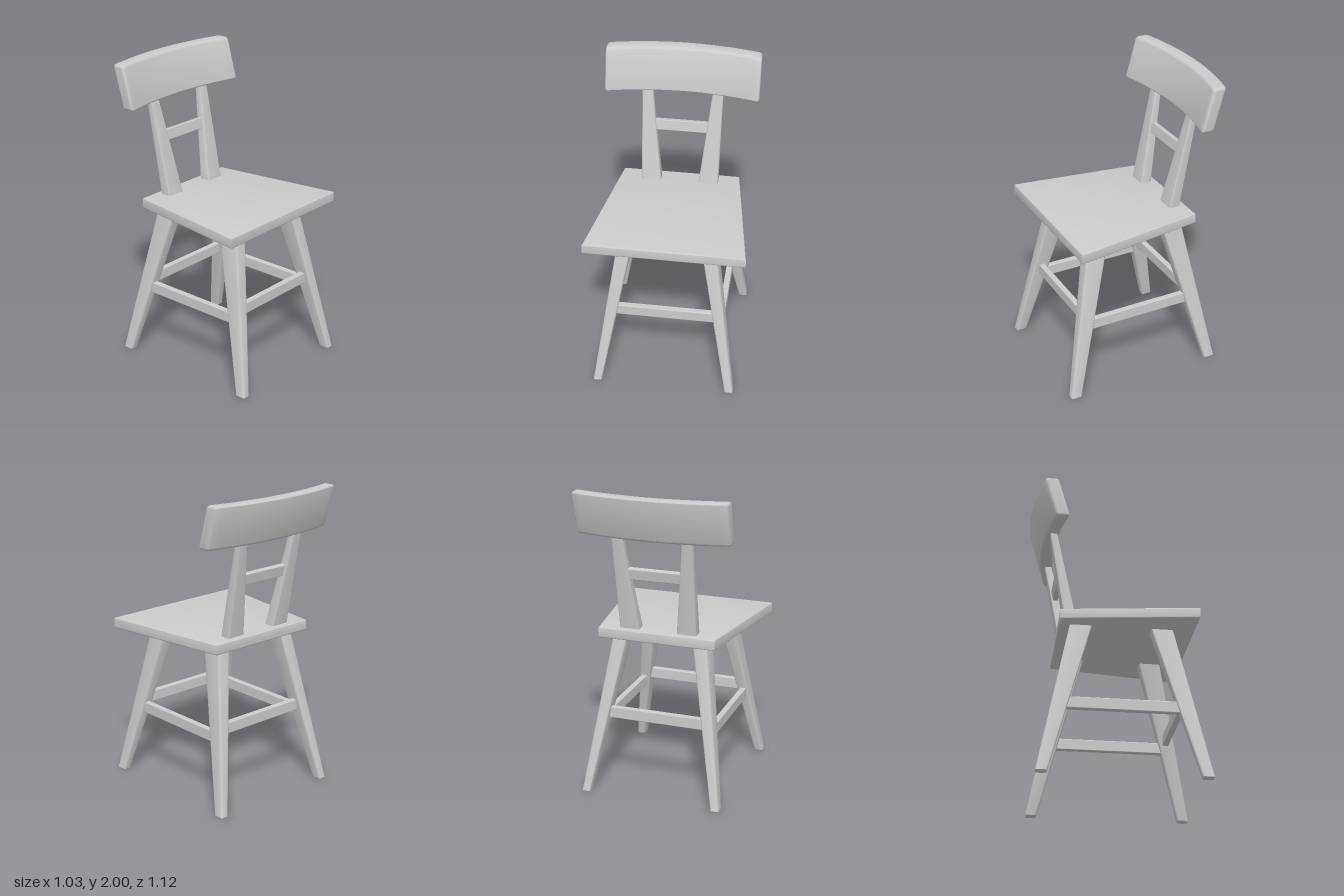
import * as THREE from 'three';
import { toCreasedNormals } from 'three/addons/utils/BufferGeometryUtils.js';
import { RoundedBoxGeometry } from 'three/addons/geometries/RoundedBoxGeometry.js';

const material = new THREE.MeshStandardMaterial({ color: 0xcccccc });

// Counter-clockwise rounded rectangle as [a, b] pairs
function roundedRect(ca, cb, width, depth, r) {
  const points = [];
  const corners = [[1, 1], [-1, 1], [-1, -1], [1, -1]];
  corners.forEach(([sa, sb], q) => {
    for (let i = 0; i <= 3; i++) {
      const t = (q + i / 3) * Math.PI / 2;
      points.push([
        ca + sa * (width / 2 - r) + r * Math.cos(t),
        cb + sb * (depth / 2 - r) + r * Math.sin(t),
      ]);
    }
  });
  return points;
}

// Closed solid through a row of equal-length rings of [x, y, z]
function loft(rings) {
  const n = rings[0].length;
  const positions = rings.flat(2);
  const index = [];
  for (let k = 0; k < rings.length - 1; k++) {
    for (let i = 0; i < n; i++) {
      const a = k * n + i, b = k * n + (i + 1) % n;
      index.push(a, b, b + n, a, b + n, a + n);
    }
  }
  const last = (rings.length - 1) * n;
  for (let i = 1; i < n - 1; i++) {
    index.push(0, i + 1, i, last, last + i, last + i + 1);
  }
  const geometry = new THREE.BufferGeometry();
  geometry.setAttribute('position', new THREE.Float32BufferAttribute(positions, 3));
  geometry.setIndex(index);
  return toCreasedNormals(geometry, 0.6);
}

// Tapered upright; each end is { y, x, z, w, d }
function taperedBar(bottom, top, r) {
  const ring = (t, inset) => {
    const v = (key) => THREE.MathUtils.lerp(bottom[key], top[key], t);
    return roundedRect(v('z'), v('x'), v('d') - 2 * inset, v('w') - 2 * inset, r - inset * 0.5)
      .map(([z, x]) => [x, v('y'), z]);
  };
  const step = 0.006 / (top.y - bottom.y);
  return loft([ring(0, 0.006), ring(step, 0), ring(1, 0)]);
}

// Curved, leaning top board, swept along x
function backrestGeometry() {
  const r = 0.018, half = 0.5, rings = [];
  const addRing = (x, inset) => {
    const bow = 0.065 * (x / half) ** 2;
    rings.push(roundedRect(1.86, 0, 0.28 - 2 * inset, 0.09 - 2 * inset, 0.018 - inset * 0.6)
      .map(([y, z]) => [x, y, z - 0.477 + bow - 0.285 * (y - 1.86)]));
  };
  for (let i = 0; i <= 4; i++) {
    const t = i / 4 * Math.PI / 2;
    addRing(-half + r * (1 - Math.sin(t)), r * (1 - Math.cos(Math.PI / 2 - t)));
  }
  rings.length = 0;
  const ends = [0, 1, 2, 3, 4].map((i) => {
    const t = i / 4 * Math.PI / 2;
    return { x: half - r + r * Math.cos(t), inset: r * (1 - Math.sin(t)) };
  });
  ends.forEach((e) => addRing(-e.x, e.inset));
  for (let i = 1; i < 28; i++) addRing((half - r) * (i / 14 - 1), 0);
  ends.reverse().forEach((e) => addRing(e.x, e.inset));
  return loft(rings);
}

// Trapezoid seat board with a fine bevel
function seatGeometry() {
  const b = 0.008;
  const shape = new THREE.Shape([
    [-0.515 + b, 0.495 - b], [-0.39 + b, -0.375 + b],
    [0.39 - b, -0.375 + b], [0.515 - b, 0.495 - b],
  ].map(([x, z]) => new THREE.Vector2(x, z)));
  const geometry = new THREE.ExtrudeGeometry(shape, {
    depth: 0.07 - 2 * b, bevelSize: b, bevelThickness: b, bevelSegments: 3,
  });
  geometry.rotateX(Math.PI / 2).translate(0, 1.105 - b, 0);
  return toCreasedNormals(geometry, 0.6);
}

export function createModel() {
  const chair = new THREE.Group();
  chair.name = 'chair';
  const add = (name, geometry, x = 0, y = 0, z = 0) => {
    const mesh = new THREE.Mesh(geometry, material);
    mesh.name = name;
    mesh.position.set(x, y, z);
    chair.add(mesh);
    return mesh;
  };

  add('seat', seatGeometry());
  add('backrest', backrestGeometry());

  for (const s of [1, -1]) {
    const side = s > 0 ? 'Left' : 'Right';

    // Splayed legs
    add('front' + side + 'Leg', taperedBar(
      { y: 0, x: s * 0.443, z: 0.526, w: 0.055, d: 0.072 },
      { y: 1.045, x: s * 0.267, z: 0.283, w: 0.095, d: 0.142 }, 0.012));
    add('back' + side + 'Leg', taperedBar(
      { y: 0, x: s * 0.443, z: -0.476, w: 0.055, d: 0.072 },
      { y: 1.045, x: s * 0.267, z: -0.235, w: 0.095, d: 0.142 }, 0.012));

    // Leaning posts, wide at the seat and ending inside the backrest
    add('back' + side + 'Post', taperedBar(
      { y: 1.095, x: s * 0.19, z: -0.296, w: 0.13, d: 0.075 },
      { y: 1.8, x: s * 0.234, z: -0.432, w: 0.062, d: 0.042 }, 0.008));

    // Side rungs between front and back legs
    add('side' + side + 'Rung', new RoundedBoxGeometry(0.04, 0.075, 0.71, 2, 0.006),
      s * 0.362, 0.478, 0.02);
  }

  // Cross rungs between left and right legs
  add('frontRung', new RoundedBoxGeometry(0.66, 0.075, 0.04, 2, 0.006), 0, 0.528, 0.402);
  add('backRung', new RoundedBoxGeometry(0.66, 0.075, 0.04, 2, 0.006), 0, 0.528, -0.353);

  // Small slat between the posts
  const slat = add('backSlat', new RoundedBoxGeometry(0.37, 0.073, 0.035, 2, 0.005), 0, 1.482, -0.37);
  slat.rotation.x = -0.2;

  return chair;
}
